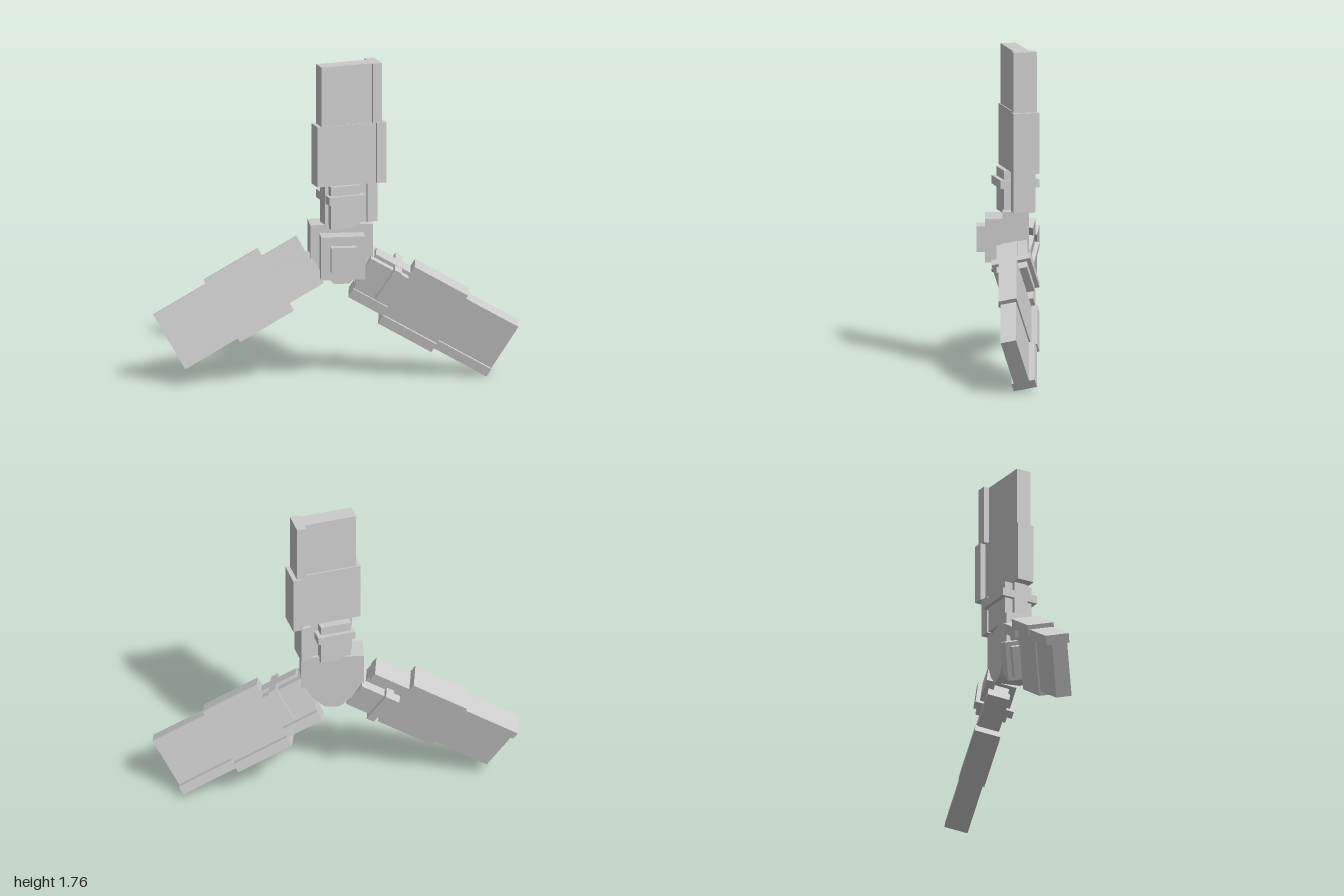
import * as THREE from 'three';

const material = new THREE.MeshStandardMaterial({ color: 0xcccccc, flatShading: true });

// Box given by its limits on each axis
function block(name, [x0, x1], [y0, y1], [z0, z1]) {
  const mesh = new THREE.Mesh(new THREE.BoxGeometry(x1 - x0, y1 - y0, z1 - z0), material);
  mesh.name = name;
  mesh.position.set((x0 + x1) / 2, (y0 + y1) / 2, (z0 + z1) / 2);
  return mesh;
}

// One upright blade, pitched about its own long axis
function createBlade() {
  const blade = new THREE.Group();
  blade.name = 'blade';
  const pitched = new THREE.Group();
  pitched.name = 'pitchedBlade';
  pitched.rotation.y = THREE.MathUtils.degToRad(14);
  pitched.position.z = -0.06;
  blade.add(pitched);

  // Each section is a plate with a thicker strip along one edge
  const sections = [
    { name: 'root', y: [0.165, 0.38], x: [-0.108, 0.13, 0.187], plate: [-0.015, 0.066], strip: [-0.045, 0.077] },
    { name: 'middle', y: [0.38, 0.715], x: [-0.155, 0.18, 0.235], plate: [-0.023, 0.076], strip: [-0.055, 0.09] },
    { name: 'tip', y: [0.715, 1.045], x: [-0.131, 0.159, 0.211], plate: [-0.015, 0.07], strip: [-0.047, 0.083] },
  ];
  for (const s of sections) {
    pitched.add(block(s.name + 'Plate', [s.x[0], s.x[1]], s.y, s.plate));
    pitched.add(block(s.name + 'EdgeStrip', [s.x[1], s.x[2]], s.y, s.strip));
  }

  // Square shaft and its collar
  pitched.add(block('shaft', [-0.088, 0.082], [0.145, 0.38], [-0.065, 0.103]));
  pitched.add(block('collar', [-0.106, 0.104], [0.285, 0.33], [-0.088, 0.128]));
  return blade;
}

export function createModel() {
  const model = new THREE.Group();
  model.name = 'propeller';
  const rotor = new THREE.Group();
  rotor.name = 'rotor';
  rotor.position.set(0.02, 0.725, 0);
  model.add(rotor);

  // Hub body with a flat top and tapered bottom
  const outline = new THREE.Shape([
    [-0.17, 0.165], [-0.17, -0.05], [-0.04, -0.165],
    [0.04, -0.165], [0.17, -0.05], [0.17, 0.165],
  ].map(([x, y]) => new THREE.Vector2(x, y)));
  const hub = new THREE.Mesh(new THREE.ExtrudeGeometry(outline, { depth: 0.145, bevelEnabled: false }), material);
  hub.name = 'hub';
  hub.position.z = -0.115;
  rotor.add(hub);

  // Stepped nose
  rotor.add(block('nose', [-0.12, 0.12], [-0.12, 0.12], [0, 0.125]));
  rotor.add(block('noseCap', [-0.07, 0.07], [-0.07, 0.07], [0.125, 0.17]));

  // Three blades around the hub
  for (let i = 0; i < 3; i++) {
    const blade = createBlade();
    blade.rotation.z = (i * Math.PI * 2) / 3;
    rotor.add(blade);
  }
  return model;
}
